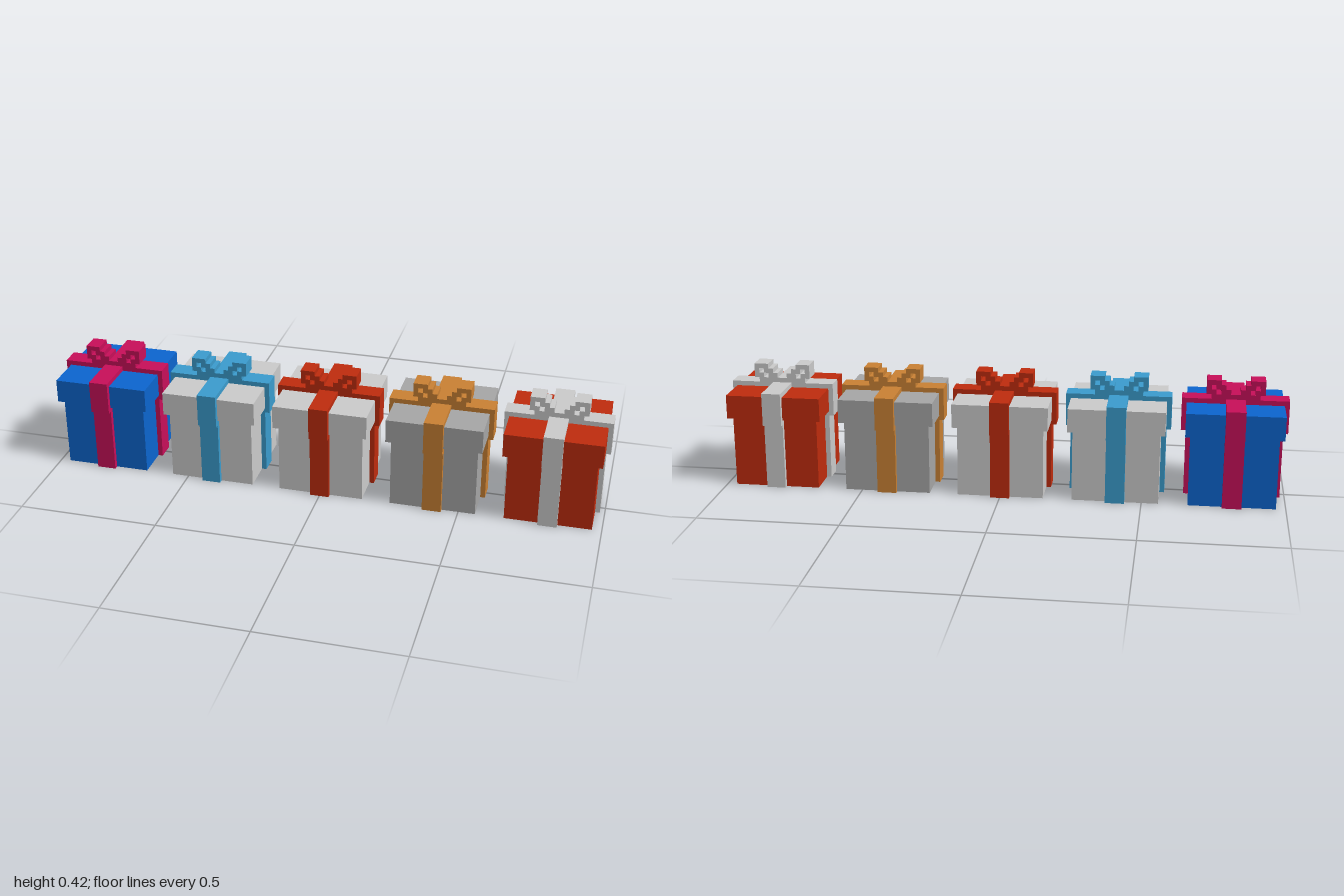
import * as THREE from 'three';

const U = 2 / 118; // one grid cell; all part sizes below are in cells

const mat = (name, color) => {
  const m = new THREE.MeshStandardMaterial({ color });
  m.name = name;
  return m;
};

// box given by its minimum and maximum corners, in cells
function block(name, material, [x0, y0, z0], [x1, y1, z1]) {
  const g = new THREE.BoxGeometry((x1 - x0) * U, (y1 - y0) * U, (z1 - z0) * U);
  g.translate((x0 + x1) / 2 * U, (y0 + y1) / 2 * U, (z0 + z1) / 2 * U);
  const mesh = new THREE.Mesh(g, material);
  mesh.name = name;
  return mesh;
}

// bow loop cells on the +x side: [x0, y0, x1, y1]
const LOOP = [
  [3, 24, 6, 25], // top edge
  [5, 22, 6, 24], // outer edge
  [4, 22, 5, 23], // crossing of the two openings
  [2, 23, 4, 24], // stepped arm down to the knot
  [1, 22, 3, 23],
];

function makeBow(paint) {
  const bow = new THREE.Group();
  bow.name = 'bow';
  bow.add(block('bowBase', paint, [-5, 21, -2], [5, 22, 2]));
  for (const [x0, y0, x1, y1] of LOOP) {
    bow.add(block('leftLoop', paint, [x0, y0, -2], [x1, y1, 2]));
    bow.add(block('rightLoop', paint, [-x1, y0, -2], [-x0, y1, 2]));
  }
  return bow;
}

function makeGift(paper, ribbon) {
  const gift = new THREE.Group();
  gift.name = 'gift';
  gift.add(block('box', paper, [-9, 0, -9], [9, 15, 9]));
  gift.add(block('lid', paper, [-10, 15, -10], [10, 20, 10]));

  // ribbon on each of the four sides, meeting in a cross on the lid
  for (let i = 0; i < 4; i++) {
    const side = new THREE.Group();
    side.name = 'sideRibbon';
    side.add(block('boxRibbon', ribbon, [-2, 0, 9], [2, 15, 10]));
    side.add(block('lidRibbon', ribbon, [-2, 14, 10], [2, 21, 11]));
    side.add(block('topRibbon', ribbon, [-2, 20, 2], [2, 21, 10]));
    side.rotation.y = i * Math.PI / 2;
    gift.add(side);
  }
  gift.add(block('ribbonCrossing', ribbon, [-2, 20, -2], [2, 21, 2]));
  gift.add(makeBow(ribbon));
  return gift;
}

export function createModel() {
  const blue = mat('blue', 0x0c66d0);
  const magenta = mat('magenta', 0xc90f5a);
  const white = mat('white', 0xcccccc);
  const sky = mat('skyBlue', 0x3b9dcf);
  const red = mat('red', 0xc02c0e);
  const grey = mat('grey', 0xa7a7a7);
  const orange = mat('orange', 0xcb8234);

  const model = new THREE.Group();
  model.name = 'giftRow';
  const pairs = [[blue, magenta], [white, sky], [white, red], [grey, orange], [red, white]];
  pairs.forEach(([paper, ribbon], i) => {
    const gift = makeGift(paper, ribbon);
    gift.position.x = (i - 2) * 24 * U;
    model.add(gift);
  });
  return model;
}
